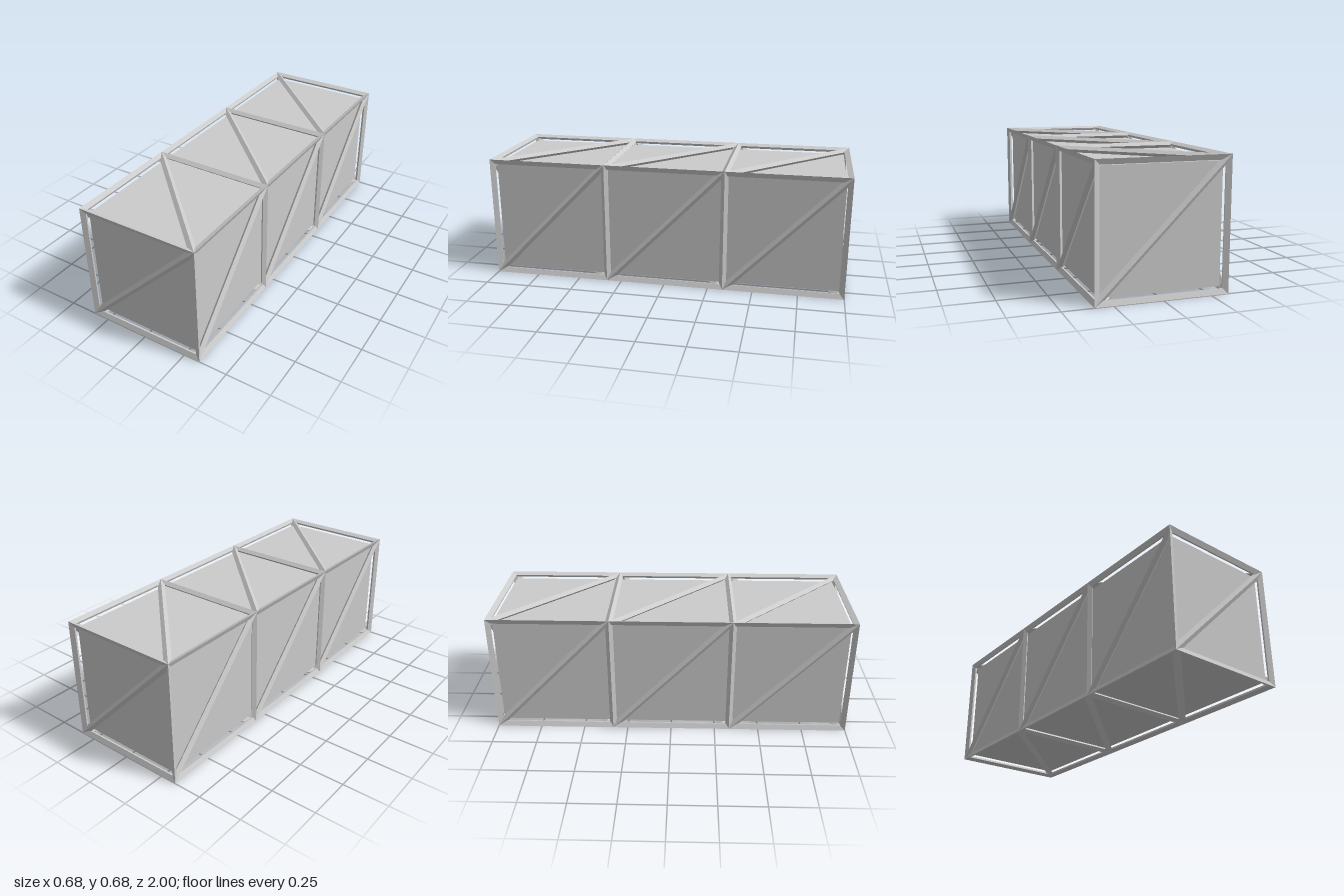
import * as THREE from 'three';

const W = 0.342, H = 0.684, L = 1; // half width, height, half length
const V = (x, y, z) => new THREE.Vector3(x, y, z);
const material = new THREE.MeshStandardMaterial({ color: 0xcccccc, flatShading: true });

// Prism from a to b. Each profile point is [along u, along v, inset from the ends].
function beam(name, a, b, u, v, profile) {
  const dir = b.clone().sub(a).normalize();
  const ring = (p, sign) => profile.map(([s, d, inset]) =>
    p.clone().addScaledVector(u, s).addScaledVector(v, d).addScaledVector(dir, sign * inset));
  const r0 = ring(a, 1), r1 = ring(b, -1), n = profile.length;
  const flip = u.clone().cross(v).dot(dir) < 0;
  const pos = [];
  const tri = (p, q, r) => (flip ? [p, r, q] : [p, q, r]).forEach((c) => pos.push(c.x, c.y, c.z));
  for (let i = 0; i < n; i++) {
    const j = (i + 1) % n;
    tri(r0[i], r0[j], r1[j]);
    tri(r0[i], r1[j], r1[i]);
  }
  for (let i = 1; i < n - 1; i++) {
    tri(r0[0], r0[i + 1], r0[i]);
    tri(r1[0], r1[i], r1[i + 1]);
  }
  const g = new THREE.BufferGeometry();
  g.setAttribute('position', new THREE.Float32BufferAttribute(pos, 3));
  g.computeVertexNormals();
  const mesh = new THREE.Mesh(g, material);
  mesh.name = name;
  return mesh;
}

// Kite section along a box edge, sharp side at the outer corner
const edgeProfile = [[0, 0, 0], [-0.028, -0.012, 0.028], [-0.024, -0.024, 0.024], [-0.012, -0.028, 0.028]];
const edgeBeam = (a, b, n1, n2) => beam('edgeBeam', a, b, n1, n2, edgeProfile);

// Diamond section lying on a face, tapering to a point at both ends
function faceBeam(name, a, b, n, inset) {
  const u = b.clone().sub(a).normalize().cross(n);
  return beam(name, a, b, u, n,
    [[0, 0, 0], [-0.02, -0.0165, inset], [0, -0.035, inset], [0.02, -0.0165, inset]]);
}

export function createModel() {
  const model = new THREE.Group();

  // Inner box, slightly smaller than the frame
  const core = new THREE.Mesh(new THREE.BoxGeometry(0.618, 0.618, 1.938), material);
  core.name = 'innerBox';
  core.position.y = H / 2;
  model.add(core);

  // Twelve outer edges
  const frame = new THREE.Group();
  frame.name = 'edgeFrame';
  for (const s of [-1, 1]) {
    for (const t of [-1, 1]) {
      const y = t > 0 ? H : 0;
      frame.add(
        edgeBeam(V(s * W, y, -L), V(s * W, y, L), V(s, 0, 0), V(0, t, 0)),
        edgeBeam(V(-W, y, s * L), V(W, y, s * L), V(0, t, 0), V(0, 0, s)),
        edgeBeam(V(s * W, 0, t * L), V(s * W, H, t * L), V(s, 0, 0), V(0, 0, t)),
      );
    }
  }
  model.add(frame);

  // Rings between the three bays
  const rings = new THREE.Group();
  rings.name = 'bayRings';
  for (const z of [-L / 3, L / 3]) {
    for (const s of [-1, 1]) {
      const y = s > 0 ? H : 0;
      rings.add(
        faceBeam('post', V(s * W, 0, z), V(s * W, H, z), V(s, 0, 0), 0.028),
        faceBeam('crossbar', V(-W, y, z), V(W, y, z), V(0, s, 0), 0.028),
      );
    }
  }
  model.add(rings);

  // Diagonal braces on every bay and both ends
  const braces = new THREE.Group();
  braces.name = 'diagonalBraces';
  for (const s of [-1, 1]) {
    braces.add(faceBeam('endBrace', V(-s * W, 0, s * L), V(s * W, H, s * L), V(0, 0, s), 0.05));
    for (let i = 0; i < 3; i++) {
      const z0 = -L + (i * 2) / 3, z1 = z0 + 2 / 3;
      braces.add(
        faceBeam('sideBrace', V(s * W, 0, s > 0 ? z1 : z0), V(s * W, H, s > 0 ? z0 : z1), V(s, 0, 0), 0.05),
        faceBeam(s > 0 ? 'topBrace' : 'bottomBrace',
          V(-s * W, s > 0 ? H : 0, z0), V(s * W, s > 0 ? H : 0, z1), V(0, s, 0), 0.05),
      );
    }
  }
  model.add(braces);

  return model;
}
